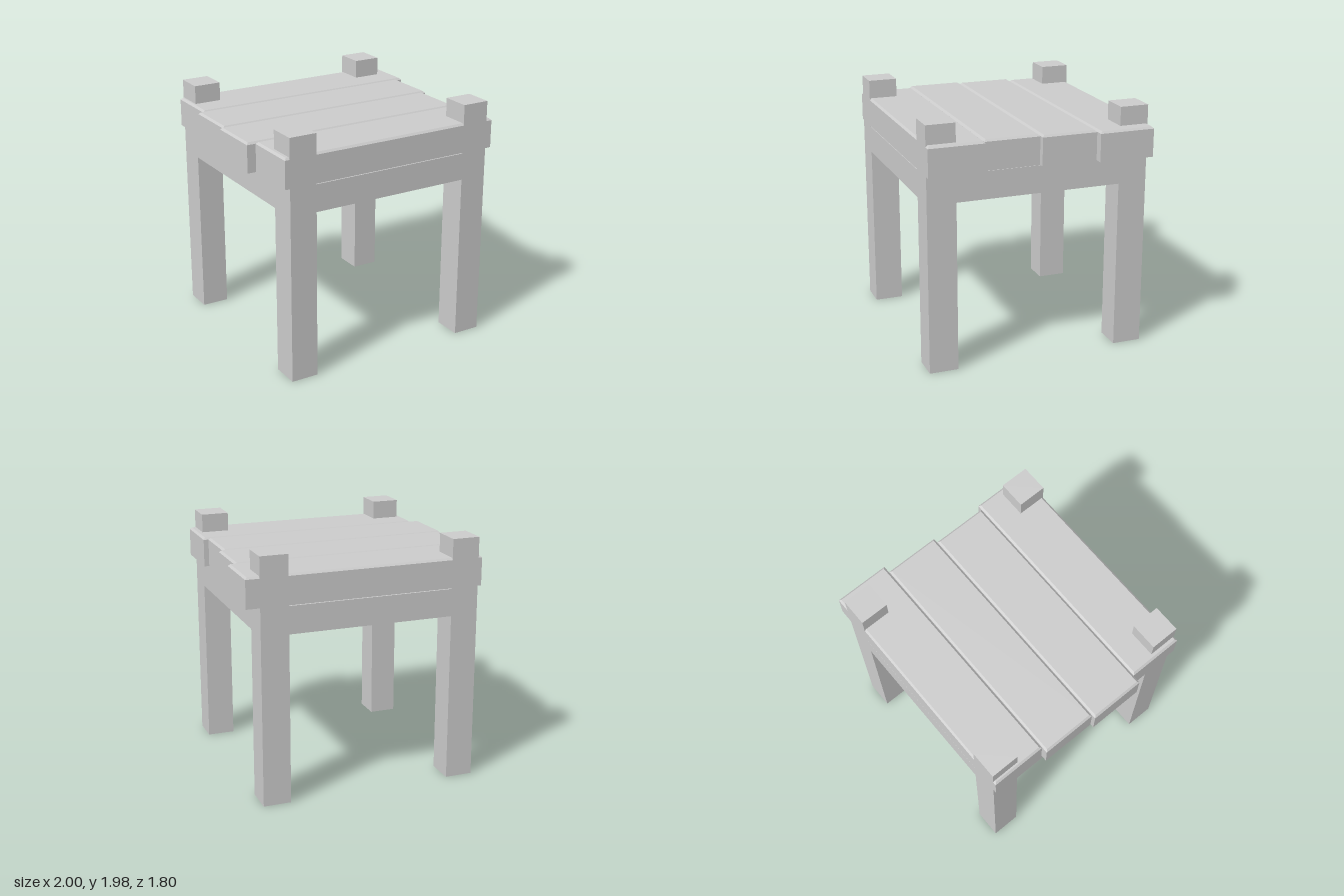
import * as THREE from 'three';

const material = new THREE.MeshStandardMaterial({ color: 0xcccccc, flatShading: true });

// Box given by its minimum and maximum corners
function block(name, [x0, y0, z0], [x1, y1, z1]) {
  const mesh = new THREE.Mesh(new THREE.BoxGeometry(x1 - x0, y1 - y0, z1 - z0), material);
  mesh.position.set((x0 + x1) / 2, (y0 + y1) / 2, (z0 + z1) / 2);
  mesh.name = name;
  return mesh;
}

// Plank: a box whose top edges are chamfered
function plank(x0, x1, z0, z1) {
  const bottom = 1.59, top = 1.83, bevel = 0.016;
  const w = x1 - x0, h = top - bottom, d = z1 - z0;
  const box = new THREE.BoxGeometry(w, h, d, 1, 2, 1);
  const p = box.attributes.position;
  for (let i = 0; i < p.count; i++) {
    const y = p.getY(i);
    if (Math.abs(y) < 1e-6) p.setY(i, h / 2 - bevel);
    else if (y > 0) {
      p.setX(i, Math.sign(p.getX(i)) * (w / 2 - bevel));
      p.setZ(i, Math.sign(p.getZ(i)) * (d / 2 - bevel));
    }
  }
  const geometry = box.toNonIndexed();
  geometry.computeVertexNormals();
  const mesh = new THREE.Mesh(geometry, material);
  mesh.position.set((x0 + x1) / 2, (bottom + top) / 2, (z0 + z1) / 2);
  mesh.name = 'seatPlank';
  return mesh;
}

export function createModel() {
  const stool = new THREE.Group();
  stool.name = 'stool';
  const inner = 0.667, legX = 0.89, legZ = 0.9;
  const railBottom = 1.365, railTop = 1.585;

  for (const s of [-1, 1]) {
    const [xa, xb] = s > 0 ? [inner, legX] : [-legX, -inner];
    const [za, zb] = s > 0 ? [inner, legZ] : [-legZ, -inner];

    // Legs, standing proud of the seat
    stool.add(block('frontLeg', [xa, 0, inner], [xb, 1.98, legZ]));
    stool.add(block('backLeg', [xa, 0, -legZ], [xb, 1.98, -inner]));

    // Rails under the seat, flush with the legs
    stool.add(block('sideRail', [xa, railBottom, -inner], [xb, railTop, inner]));
    stool.add(block(s > 0 ? 'frontRail' : 'backRail', [-inner, railBottom, za], [inner, railTop, zb]));
  }

  // Seat planks, unevenly cut, from back to front
  const ends = [[-0.92, 1.0], [-0.97, 0.94], [-1.0, 0.9], [-0.93, 0.94]];
  ends.forEach(([x0, x1], i) => {
    const z0 = -0.9 + i * 0.451;
    stool.add(plank(x0, x1, z0, z0 + 0.447));
  });

  return stool;
}
